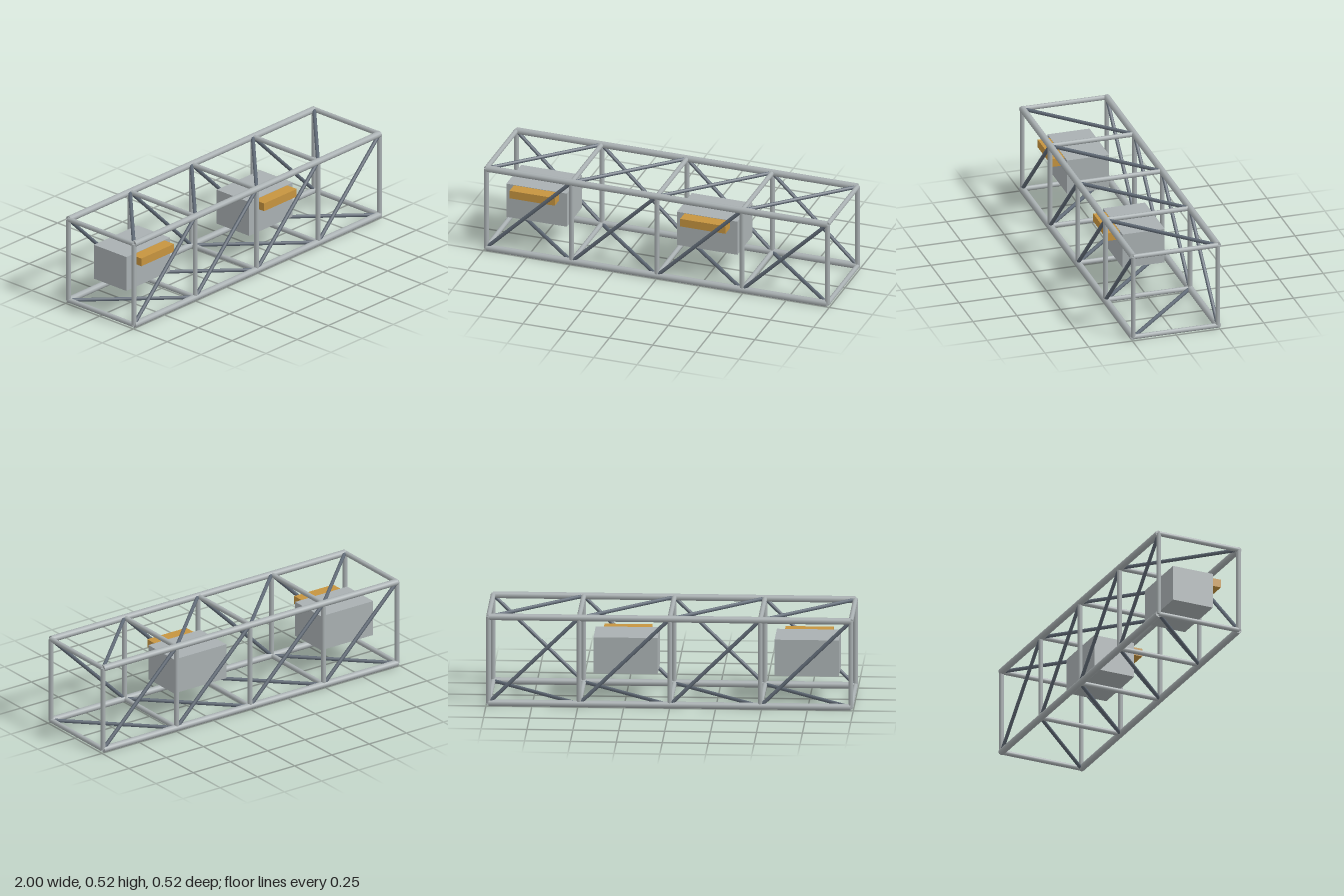
import * as THREE from 'three';

const BAYS = 4, END = 0.9865, HALF = 0.241, MID = 0.26;
const LOW = MID - HALF, HIGH = MID + HALF;

export function createModel() {
  const model = new THREE.Group();
  model.name = 'boxTruss';

  const steel = new THREE.MeshStandardMaterial({ color: 0xa9b0b2 });
  steel.name = 'galvanised steel';
  const brace = new THREE.MeshStandardMaterial({ color: 0x616b77 });
  brace.name = 'dark brace steel';
  const amber = new THREE.MeshStandardMaterial({ color: 0xc6943f });
  amber.name = 'amber';

  // Round bar between two points
  const up = new THREE.Vector3(0, 1, 0);
  function bar(name, a, b, radius, sides, material) {
    const from = new THREE.Vector3(...a), to = new THREE.Vector3(...b);
    const dir = to.clone().sub(from);
    const mesh = new THREE.Mesh(new THREE.CylinderGeometry(radius, radius, dir.length(), sides), material);
    mesh.position.copy(from).add(to).multiplyScalar(0.5);
    mesh.quaternion.setFromUnitVectors(up, dir.normalize());
    mesh.name = name;
    model.add(mesh);
  }

  function box(name, size, position, material) {
    const mesh = new THREE.Mesh(new THREE.BoxGeometry(...size), material);
    mesh.position.set(...position);
    mesh.name = name;
    model.add(mesh);
  }

  // Four long chords
  for (const y of [LOW, HIGH])
    for (const z of [-HALF, HALF])
      bar('chord', [-END, y, z], [END, y, z], 0.0185, 10, steel);

  // Square frame at every station
  const station = i => -END + (2 * END * i) / BAYS;
  for (let i = 0; i <= BAYS; i++) {
    const x = station(i);
    for (const z of [-HALF, HALF]) bar('post', [x, LOW, z], [x, HIGH, z], 0.0135, 10, steel);
    for (const y of [LOW, HIGH]) bar('crossbar', [x, y, -HALF], [x, y, HALF], 0.0135, 10, steel);
  }

  // One diagonal on each side of each bay, opposite sides running opposite ways
  for (let i = 0; i < BAYS; i++) {
    const a = station(i), b = station(i + 1);
    bar('frontBrace', [a, LOW, HALF], [b, HIGH, HALF], 0.0105, 8, brace);
    bar('backBrace', [a, HIGH, -HALF], [b, LOW, -HALF], 0.0105, 8, brace);
    bar('topBrace', [a, HIGH, HALF], [b, HIGH, -HALF], 0.0105, 8, brace);
    bar('bottomBrace', [a, LOW, -HALF], [b, LOW, HALF], 0.0105, 8, brace);
  }

  // Equipment cabinets with an amber ledge, in alternate bays
  for (const i of [0, 2]) {
    const x = (station(i) + station(i + 1)) / 2;
    box('cabinet', [0.35, 0.202, 0.24], [x, 0.261, 0], steel);
    box('cabinetLedge', [0.262, 0.046, 0.07], [x, 0.337, 0.155], amber);
  }

  return model;
}
